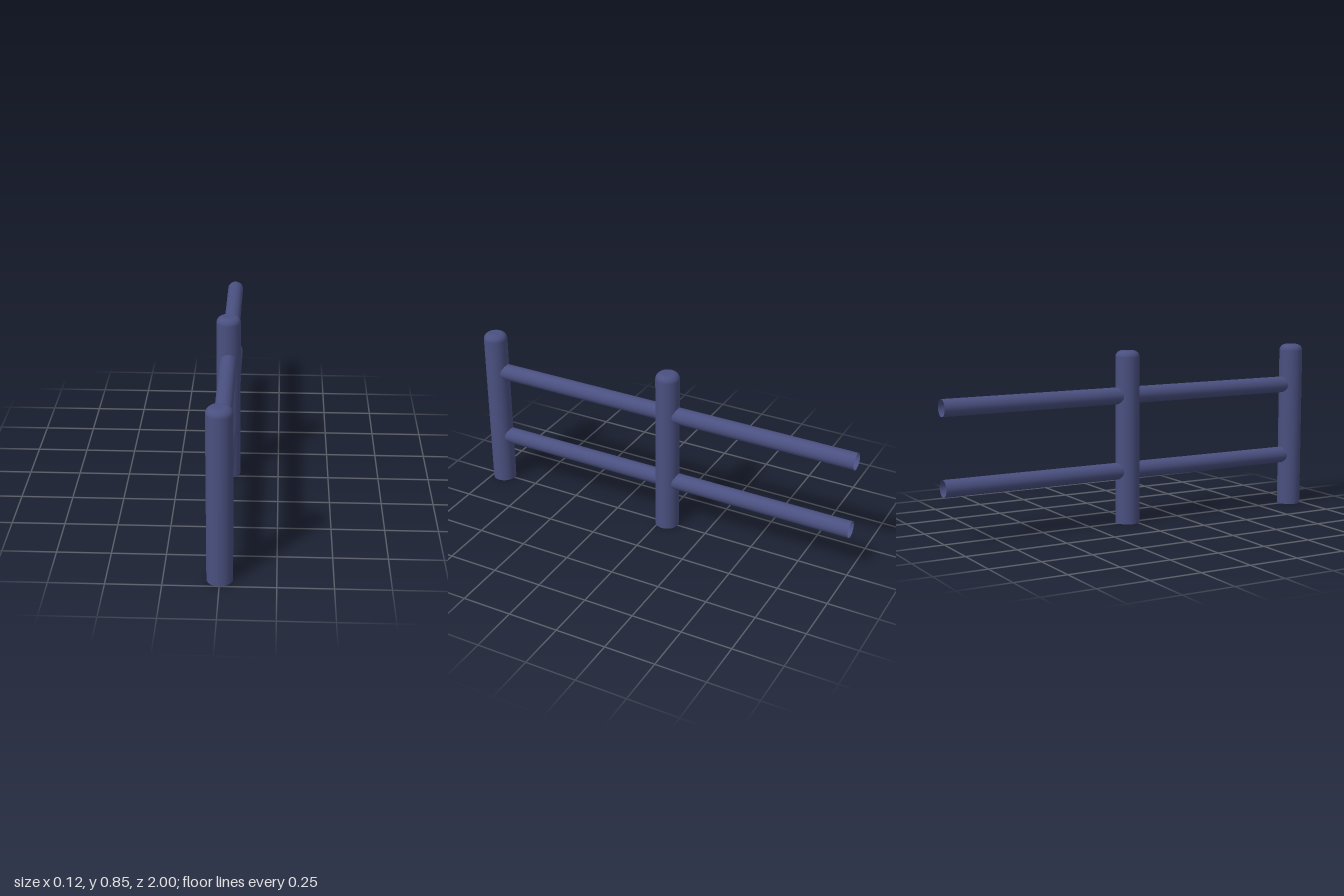
import * as THREE from 'three';

const POST_RADIUS = 0.059;
const RAIL_RADIUS = 0.041;

// Upright tube, open at the foot, with a rounded flat-topped cap
function makePost(name, height, z, material) {
  const round = 0.032;
  const profile = [new THREE.Vector2(POST_RADIUS, 0)];
  for (let i = 0; i <= 6; i++) {
    const a = (i / 6) * Math.PI / 2;
    profile.push(new THREE.Vector2(
      POST_RADIUS - round + round * Math.cos(a),
      height - round + round * Math.sin(a)
    ));
  }
  profile.push(new THREE.Vector2(0, height));
  const post = new THREE.Mesh(new THREE.LatheGeometry(profile, 32), material);
  post.name = name;
  post.position.z = z;
  return post;
}

// Horizontal open-ended tube along z
function makeRail(name, y, zFront, zBack, material) {
  const length = zFront - zBack;
  const geometry = new THREE.CylinderGeometry(RAIL_RADIUS, RAIL_RADIUS, length, 32, 1, true);
  geometry.rotateX(Math.PI / 2);
  const rail = new THREE.Mesh(geometry, material);
  rail.name = name;
  rail.position.set(0, y, (zFront + zBack) / 2);
  return rail;
}

export function createModel() {
  const paint = new THREE.MeshStandardMaterial({ color: 0x4a5080 });
  paint.name = 'slate blue paint';
  paint.side = THREE.DoubleSide; // the tubes are open

  const group = new THREE.Group();
  group.name = 'railing';

  group.add(makePost('endPost', 0.838, 0.941, paint));
  group.add(makePost('middlePost', 0.848, -0.037, paint));

  // Each rail runs from the end post, through the middle post, to the free end
  group.add(makeRail('upperRail', 0.63, 0.92, -1, paint));
  group.add(makeRail('lowerRail', 0.26, 0.92, -1, paint));
  return group;
}
